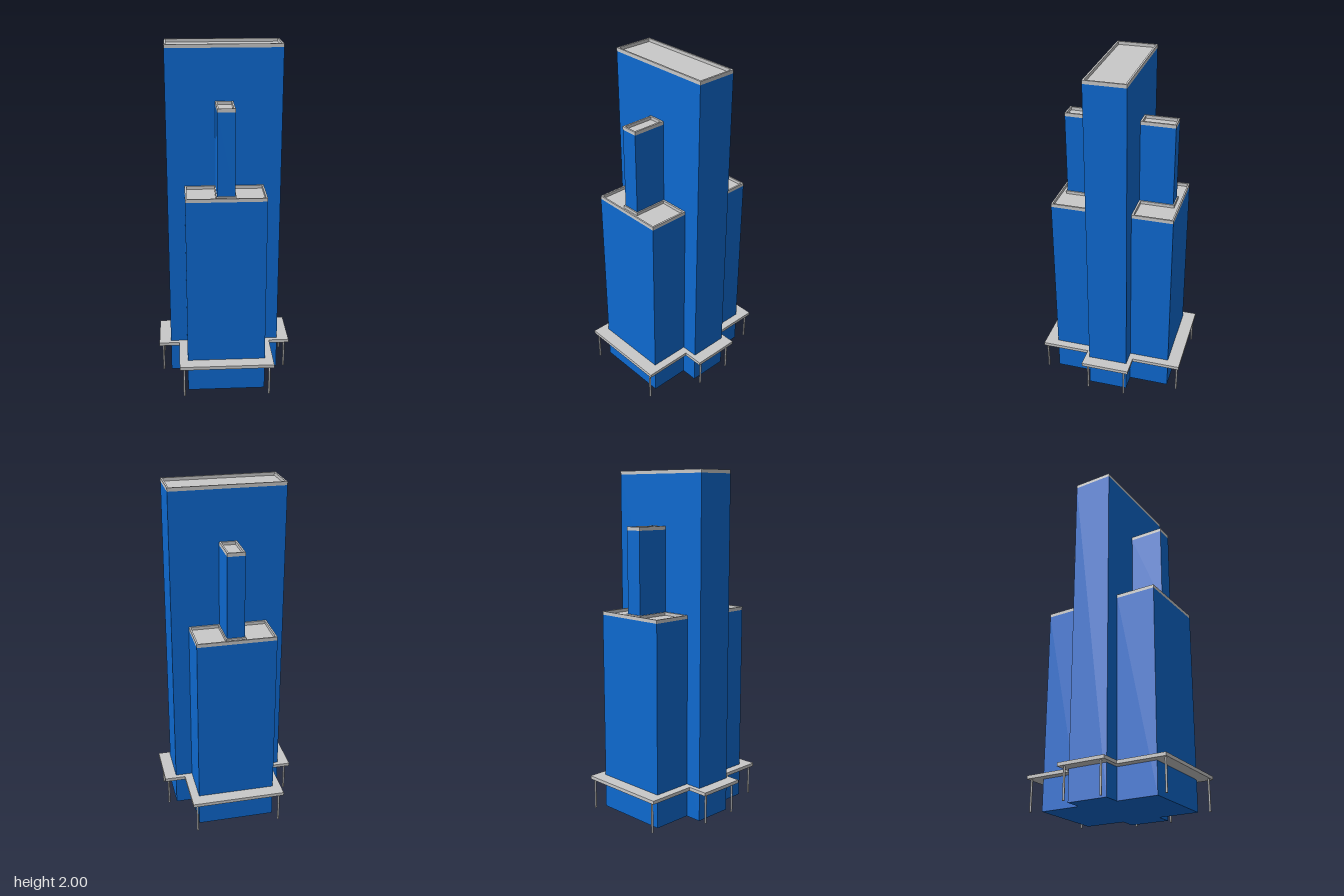
import * as THREE from 'three';

const blue = new THREE.MeshStandardMaterial({ name: 'facade blue', color: 0x0d69d0 });
const grey = new THREE.MeshStandardMaterial({ name: 'concrete grey', color: 0xc8c8c8 });

const RIM = 0.02; // parapet height
const CORE = { x: 0.327, z: 0.118 };

// Horizontal slab from a plan outline in (x, z), with its upper face at y = top
function slab(name, outline, holes, top, depth, material) {
  const toPoints = (list) => list.map(([x, z]) => new THREE.Vector2(x, z));
  const shape = new THREE.Shape(toPoints(outline));
  for (const h of holes) shape.holes.push(new THREE.Path(toPoints(h)));
  const geo = new THREE.ExtrudeGeometry(shape, { depth, bevelEnabled: false });
  geo.rotateX(Math.PI / 2).translate(0, top, 0);
  const mesh = new THREE.Mesh(geo, material);
  mesh.name = name;
  return mesh;
}

// Plan rectangle, symmetric in x
const rect = (x, z0, z1) => [[-x, z0], [x, z0], [x, z1], [-x, z1]];

// Blue block topped by a recessed roof and a parapet rim
function block(name, x, z0, z1, y0, top, hole) {
  const group = new THREE.Group();
  group.name = name;
  const plan = rect(x, z0, z1);
  group.add(
    slab(name + 'Walls', plan, [], top - RIM, top - RIM - y0, blue),
    slab(name + 'Roof', hole, [], top - RIM + 0.002, 0.002, grey),
    slab(name + 'Parapet', plan, [hole], top, RIM, grey),
  );
  return group;
}

export function createModel() {
  const model = new THREE.Group();
  model.name = 'skyscraper';

  // Tall central slab
  model.add(block('core', CORE.x, -CORE.z, CORE.z, 0, 2, rect(CORE.x - 0.01, -CORE.z + 0.01, CORE.z - 0.01)));

  // Stepped wing with a slim shaft on top, at front and back
  const wingRoof = [
    [-0.217, 0.128], [-0.057, 0.128], [-0.057, 0.324], [0.057, 0.324],
    [0.057, 0.128], [0.217, 0.128], [0.217, 0.348], [-0.217, 0.348],
  ];
  for (const side of ['front', 'back']) {
    const wing = new THREE.Group();
    wing.name = side + 'Wing';
    wing.add(block('lowerWing', 0.227, CORE.z, 0.357, 0, 1.2, wingRoof));
    wing.add(block('shaft', 0.05, CORE.z, 0.317, 1.18, 1.69, rect(0.04, 0.128, 0.308)));
    if (side === 'back') wing.rotation.y = Math.PI;
    model.add(wing);
  }

  // Cross-shaped canopy around the base, open where the building passes through
  const cross = (a, b, c, d) => [
    [-a, -d], [a, -d], [a, -b], [c, -b], [c, b], [a, b],
    [a, d], [-a, d], [-a, b], [-c, b], [-c, -b], [-a, -b],
  ];
  model.add(slab('canopy', cross(0.275, 0.145, 0.397, 0.434),
    [cross(0.227, CORE.z, CORE.x, 0.357)], 0.2, RIM, grey));

  // Thin posts under the outer canopy corners
  const postGeo = new THREE.CylinderGeometry(0.006, 0.006, 0.18, 12);
  for (const [x, z] of [[0.373, 0.113], [0.249, 0.419]])
    for (const sx of [-1, 1])
      for (const sz of [-1, 1]) {
        const post = new THREE.Mesh(postGeo, grey);
        post.name = 'canopyPost';
        post.position.set(sx * x, 0.09, sz * z);
        model.add(post);
      }

  return model;
}
